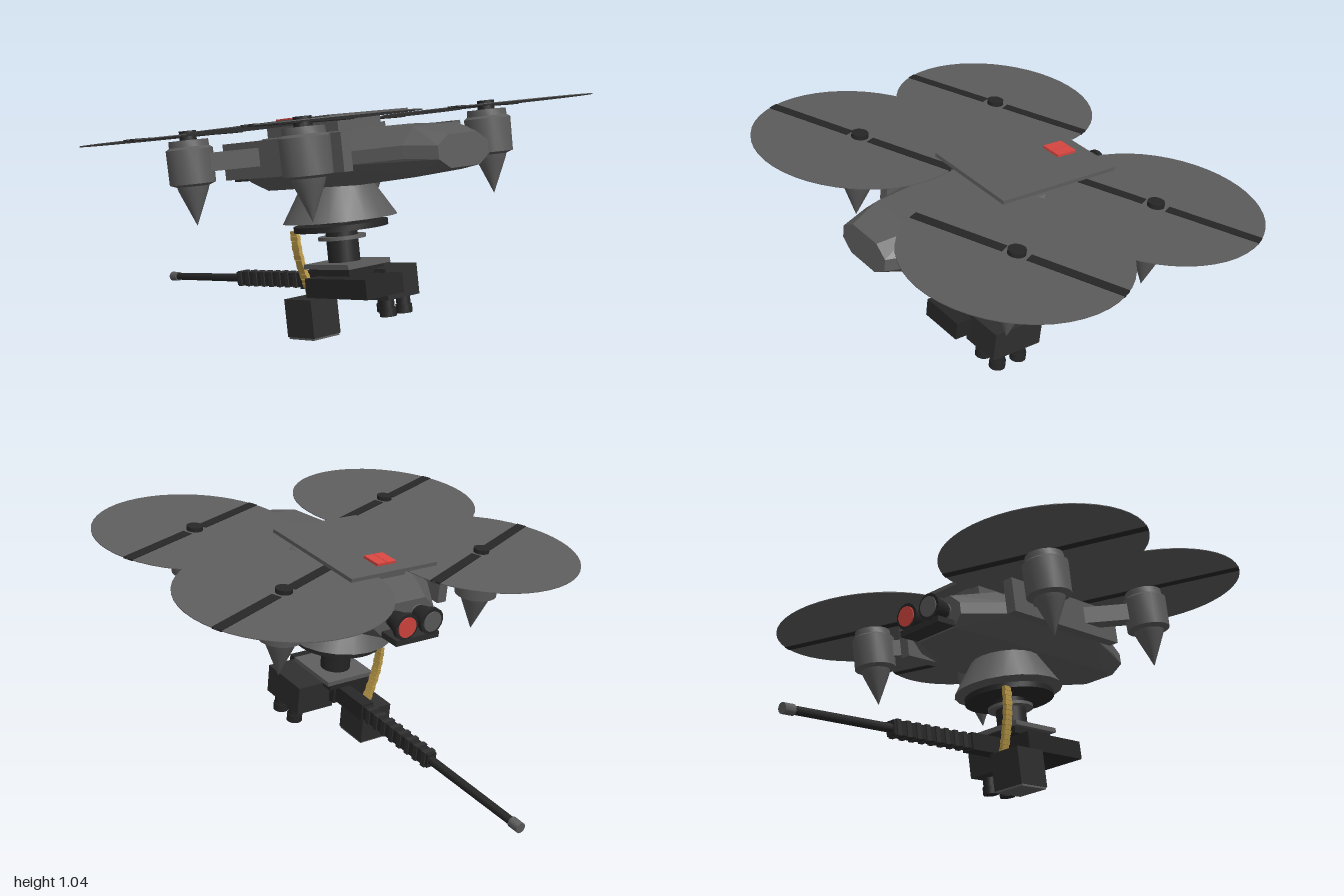
import * as THREE from 'three';
import { toCreasedNormals } from 'three/addons/utils/BufferGeometryUtils.js';
import { ConvexGeometry } from 'three/addons/geometries/ConvexGeometry.js';

const paint = (name, color) => {
  const m = new THREE.MeshStandardMaterial({ color });
  m.name = name;
  return m;
};

export function createModel() {
  const hullGrey = paint('hull grey', 0x5c5c5c);
  const gunBlack = paint('gun black', 0x262626);
  const boxBlack = paint('box black', 0x2e2e2e);
  const brass = paint('brass', 0xbd9c4a);
  const red = paint('signal red', 0xd64640);

  const model = new THREE.Group();
  model.name = 'quadRotorGunDrone';
  // The whole craft is pitched, with the gun end low
  const craft = new THREE.Group();
  craft.name = 'craft';
  craft.position.set(0, 0.921, 0.21);
  craft.rotation.x = -Math.PI * 9 / 180;
  model.add(craft);

  const add = (name, geo, mat, x = 0, y = 0, z = 0, parent = craft) => {
    const mesh = new THREE.Mesh(geo, mat);
    mesh.name = name;
    mesh.position.set(x, y, z);
    parent.add(mesh);
    return mesh;
  };
  const box = (name, mat, w, h, d, x, y, z, parent) =>
    add(name, new THREE.BoxGeometry(w, h, d), mat, x, y, z, parent);
  // Upright cylinder or frustum
  const cyl = (name, mat, rt, rb, h, x, y, z, n = 24, parent = craft) =>
    add(name, toCreasedNormals(new THREE.CylinderGeometry(rt, rb, h, n), 0.4), mat, x, y, z, parent);
  // Cylinder lying along z; the first radius is the +z end
  const rod = (name, mat, rf, rr, len, x, y, z, n = 16) => {
    const m = cyl(name, mat, rf, rr, len, x, y, z, n);
    m.rotation.x = Math.PI / 2;
    return m;
  };

  // Faceted hull from octagonal sections: z, top, bottom, flat half width, full half width
  const sections = [
    [0.66, -0.10, -0.225, 0.08, 0.14],
    [0.53, -0.058, -0.24, 0.12, 0.19],
    [0.25, -0.044, -0.262, 0.16, 0.285],
    [-0.28, -0.044, -0.262, 0.18, 0.285],
    [-0.49, -0.08, -0.225, 0.10, 0.15],
  ];
  const points = [];
  for (const [z, top, bottom, a, w] of sections) {
    const mid = (top + bottom) / 2;
    for (const s of [-1, 1]) {
      points.push(
        new THREE.Vector3(s * a, top, z), new THREE.Vector3(s * a, bottom, z),
        new THREE.Vector3(s * w, mid + 0.025, z), new THREE.Vector3(s * w, mid - 0.025, z));
    }
  }
  add('hull', new ConvexGeometry(points), hullGrey);

  // Roof plate on a low spacer, with the red marker
  box('roofSpacer', hullGrey, 0.24, 0.06, 0.44, 0, -0.02, -0.1);
  box('roofPlate', hullGrey, 0.44, 0.016, 0.585, 0, 0.014, -0.108);
  for (const x of [-0.027, 0.022]) box('roofMarker', red, 0.047, 0.012, 0.097, x, 0.027, -0.29);

  // Four rotor units
  const podProfile = [[0, -0.018], [0.08, -0.018], [0.082, -0.045], [0.096, -0.055],
    [0.094, -0.195], [0.066, -0.205], [0.06, -0.225], [0, -0.367]]
    .reverse().map(([r, y]) => new THREE.Vector2(r, y));
  const podGeo = toCreasedNormals(new THREE.LatheGeometry(podProfile, 20), 0.5);
  for (const sx of [-1, 1]) {
    for (const sz of [-1, 1]) {
      const unit = new THREE.Group();
      unit.name = 'rotorUnit';
      unit.position.set(sx * 0.51, 0, sz * 0.354);
      craft.add(unit);
      add('motorPod', podGeo, hullGrey, 0, 0, 0, unit);
      cyl('rotorDisc', hullGrey, 0.435, 0.435, 0.003, 0, 0, 0, 48, unit);
      cyl('rotorHub', gunBlack, 0.035, 0.035, 0.04, 0, 0, 0, 20, unit);
      const blades = new THREE.Group();
      blades.name = 'blades';
      blades.rotation.y = 0.41;
      unit.add(blades);
      for (const s of [-1, 1]) box('blade', gunBlack, 0.385, 0.008, 0.045, s * 0.242, 0, 0, blades);
      // Diagonal arm from the pod to the side rail
      const arm = box('arm', hullGrey, 0.3, 0.075, 0.075, sx * 0.4, -0.115, sz * 0.245);
      arm.rotation.y = -sx * sz * Math.PI / 4;
    }
    box('sideRail', hullGrey, 0.046, 0.15, 0.72, sx * 0.312, -0.125, 0);
    box('railMount', hullGrey, 0.1, 0.07, 0.3, sx * 0.25, -0.14, 0);
  }

  // Rear twin cameras on a shelf
  box('cameraShelf', boxBlack, 0.22, 0.026, 0.12, 0, -0.206, -0.53);
  for (const sx of [-1, 1]) {
    rod('cameraNeck', hullGrey, 0.035, 0.035, 0.08, sx * 0.065, -0.14, -0.47);
    rod('cameraHousing', gunBlack, 0.034, 0.056, 0.09, sx * 0.065, -0.14, -0.54);
    rod('cameraRim', gunBlack, 0.058, 0.058, 0.02, sx * 0.065, -0.14, -0.58);
    rod('cameraLens', sx > 0 ? red : hullGrey, 0.044, 0.044, 0.012, sx * 0.065, -0.14, -0.59, 20);
  }

  // Turret under the hull
  const tz = -0.053;
  cyl('turretSkirt', hullGrey, 0.145, 0.24, 0.155, 0, -0.328, tz, 20);
  cyl('turretRing', gunBlack, 0.197, 0.197, 0.024, 0, -0.434, tz, 32);
  cyl('turretCollar', hullGrey, 0.1, 0.1, 0.014, 0, -0.482, tz);
  cyl('turretShaft', gunBlack, 0.067, 0.067, 0.2, 0, -0.5, tz);
  box('turretPlate', hullGrey, 0.24, 0.02, 0.27, 0, -0.593, -0.04);
  box('cradlePlate', gunBlack, 0.2, 0.03, 0.24, 0, -0.618, -0.045);

  // Gun: receiver, jacket, barrel and muzzle
  const gx = 0.021, gy = -0.668;
  box('receiver', gunBlack, 0.21, 0.08, 0.36, -0.045, -0.677, 0.037);
  box('breech', gunBlack, 0.06, 0.075, 0.2, gx, gy, -0.24);
  box('jacket', gunBlack, 0.045, 0.06, 0.46, gx, gy, -0.56);
  for (let i = 0; i < 8; i++) box('jacketRib', boxBlack, 0.056, 0.068, 0.024, gx, gy, -0.38 - i * 0.055);
  rod('barrel', gunBlack, 0.019, 0.017, 0.56, gx, gy, -1.04);
  rod('muzzle', hullGrey, 0.022, 0.022, 0.05, gx, gy, -1.308);

  // Sensor block with three downward tubes
  box('sensorBlock', boxBlack, 0.185, 0.13, 0.25, 0.132, -0.686, 0.017);
  for (const [x, z] of [[0.09, 0.082], [0.185, 0.082], [0.185, -0.03]]) {
    cyl('sensorTube', gunBlack, 0.03, 0.03, 0.07, x, -0.775, z, 16);
    cyl('sensorTubeRim', gunBlack, 0.035, 0.035, 0.035, x, -0.808, z, 16);
  }

  // Magazine and its feed belt
  box('magazine', boxBlack, 0.148, 0.16, 0.167, -0.102, -0.802, -0.175);
  box('magazineBase', hullGrey, 0.142, 0.01, 0.155, -0.102, -0.886, -0.175);
  const belt = new THREE.CatmullRomCurve3([[-0.12, -0.44], [-0.112, -0.54], [-0.088, -0.64], [-0.06, -0.725]]
    .map(([x, y]) => new THREE.Vector3(x, y, -0.212)));
  const links = 14;
  for (let i = 0; i < links; i++) {
    const t = (i + 0.5) / links;
    const p = belt.getPointAt(t), d = belt.getTangentAt(t);
    const link = box('beltRound', brass, 0.018, 0.02, i % 2 ? 0.044 : 0.038, p.x, p.y, p.z);
    link.rotation.z = Math.atan2(d.x, -d.y);
  }

  return model;
}
